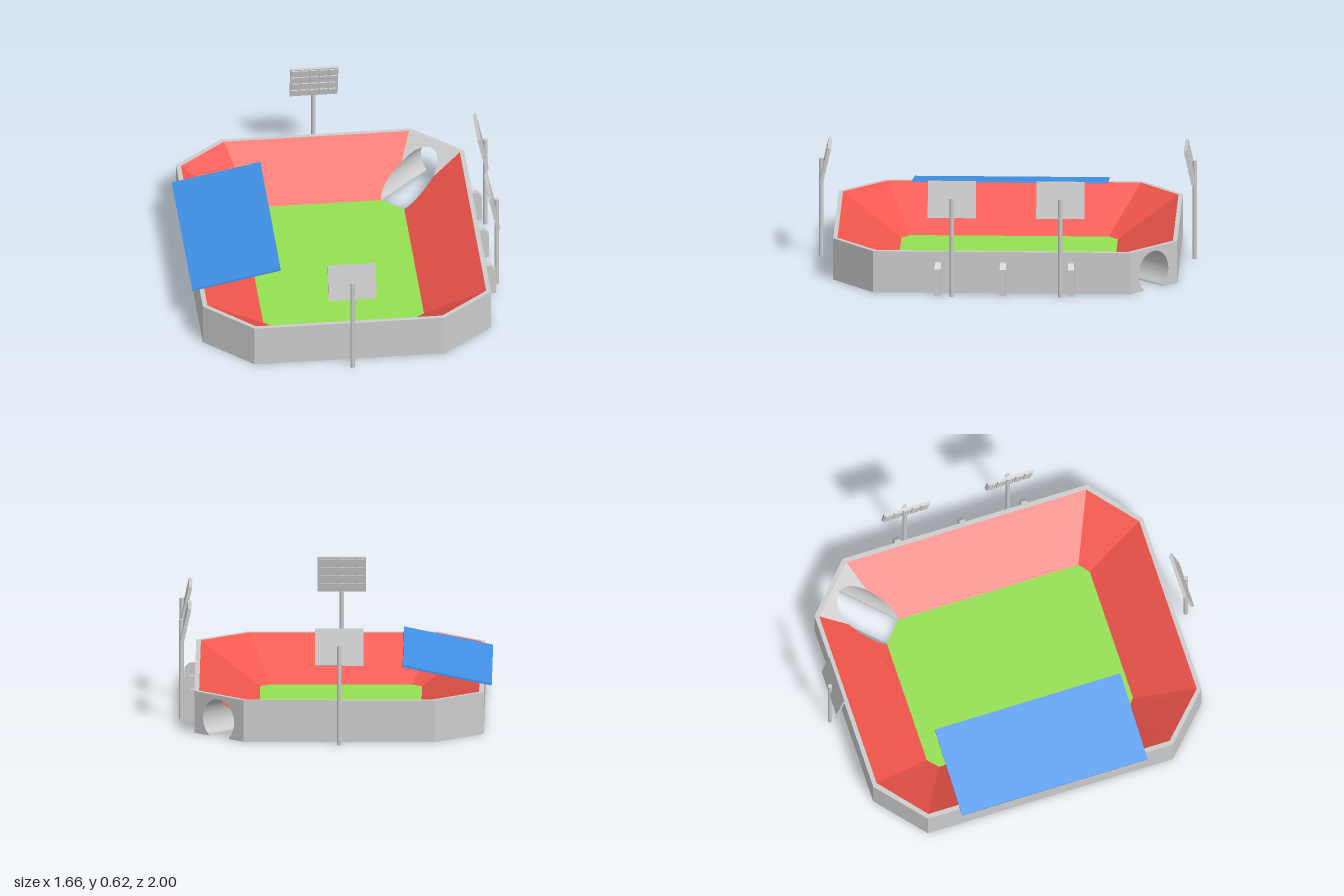
import * as THREE from 'three';
import { mergeGeometries } from 'three/addons/utils/BufferGeometryUtils.js';

const V = (x, y, z) => new THREE.Vector3(x, y, z);
const mat = (color) => new THREE.MeshStandardMaterial({ color });
const H = 0.225, FIELD_Y = 0.008;

// Octagon outlines [x, z], starting at the back-left corner and going round
// via the left, front and right sides (index 0-1 is the tunnel corner).
const OUTER = [[0.48, -0.91], [0.74, -0.67], [0.74, 0.69], [0.47, 0.91],
  [-0.54, 0.91], [-0.79, 0.67], [-0.79, -0.69], [-0.53, -0.91]];
const RIM = [[0.47, -0.887], [0.715, -0.657], [0.715, 0.675], [0.46, 0.887],
  [-0.53, 0.887], [-0.765, 0.66], [-0.765, -0.68], [-0.515, -0.887]];
const PITCH = [[0.347, -0.57], [0.4, -0.52], [0.4, 0.53], [0.345, 0.575],
  [-0.4, 0.575], [-0.455, 0.53], [-0.455, -0.52], [-0.4, -0.57]];
const at = (ring, i, y) => V(ring[i % 8][0], y, ring[i % 8][1]);

// Flat polygon in space, its front turned towards dir
function poly(points, dir) {
  const n = V(0, 0, 0);
  points.forEach((p, i) => n.add(V(0, 0, 0).crossVectors(p, points[(i + 1) % points.length])));
  const a = [Math.abs(n.x), Math.abs(n.y), Math.abs(n.z)];
  const drop = a.indexOf(Math.max(...a));
  const flat = points.map((p) => {
    const c = p.toArray();
    c.splice(drop, 1);
    return new THREE.Vector2(c[0], c[1]);
  });
  const out = [];
  for (const [i, j, k] of THREE.ShapeUtils.triangulateShape(flat, [])) {
    const t = new THREE.Triangle(points[i], points[j], points[k]);
    const flip = t.getNormal(V(0, 0, 0)).dot(dir) < 0;
    for (const m of flip ? [i, k, j] : [i, j, k]) out.push(points[m]);
  }
  const g = new THREE.BufferGeometry().setFromPoints(out);
  g.computeVertexNormals();
  return g;
}

// Tunnel: a cylinder running diagonally through the back-left corner
const R = 0.112, CY = 0.092, W0 = -0.125, S = Math.SQRT1_2;
const AXIS = V(S, 0, -S);
const END = Math.acos((FIELD_Y - CY) / R);
const plane = (a, b, c) => new THREE.Plane().setFromCoplanarPoints(a, b, c);
const slopes = [7, 0, 1].map((i) => plane(at(PITCH, i, FIELD_Y), at(PITCH, i + 1, FIELD_Y), at(RIM, i, H)));
const cornerWall = plane(at(OUTER, 0, 0), at(OUTER, 1, 0), at(OUTER, 0, H));

// Where the tunnel line at angle t meets one of the planes first
function hit(t, planes) {
  const w = W0 + R * Math.sin(t);
  const start = V(w * S, CY + R * Math.cos(t), w * S).addScaledVector(AXIS, -5);
  const ray = new THREE.Ray(start, AXIS);
  const d = planes.map((p) => ray.distanceToPlane(p) ?? Infinity);
  const dist = Math.min(...d);
  return { point: ray.at(dist, V(0, 0, 0)), face: d.indexOf(dist) };
}
// Angle at which the tunnel edge crosses from a side stand to the corner
function seam(side) {
  let a = side * END, b = 0;
  for (let i = 0; i < 40; i++) {
    const m = (a + b) / 2;
    if (hit(m, slopes).face === 1) b = m; else a = m;
  }
  return b;
}
const sweep = (a, b, n) => Array.from({ length: n + 1 }, (_, i) => a + ((b - a) * i) / n);

function floodlight(x, z, turn) {
  const g = new THREE.Group();
  g.name = 'floodlight';
  const grey = mat(0xcccccc);
  const pole = new THREE.Mesh(new THREE.CylinderGeometry(0.012, 0.012, 0.535, 12), grey);
  pole.name = 'pole';
  pole.position.y = 0.2675;
  // Panel leaning inwards, with a grid of lamps on its inner face (-z)
  const panel = new THREE.Group();
  panel.name = 'lampPanel';
  const board = new THREE.Mesh(new THREE.BoxGeometry(0.255, 0.197, 0.013), grey);
  board.name = 'board';
  const lamps = [];
  for (let i = 0; i < 5; i++) for (let j = 0; j < 4; j++) {
    lamps.push(new THREE.BoxGeometry(0.042, 0.04, 0.008)
      .translate((i - 2) * 0.05, (j - 1.5) * 0.048, -0.009));
  }
  const lampMesh = new THREE.Mesh(mergeGeometries(lamps), grey);
  lampMesh.name = 'lamps';
  panel.add(board, lampMesh);
  panel.position.set(0, 0.523, -0.022);
  panel.rotation.x = -0.22;
  g.add(pole, panel);
  g.position.set(x, 0, z);
  g.rotation.y = turn;
  return g;
}

export function createModel() {
  const model = new THREE.Group();
  model.name = 'stadium';
  const add = (name, geo, color) => {
    const m = new THREE.Mesh(geo, mat(color));
    m.name = name;
    model.add(m);
    return m;
  };

  // Tunnel edge curves
  const t1 = seam(-1), t2 = seam(1);
  const inner = (a, b, n) => sweep(a, b, n).map((t) => hit(t, slopes).point);
  const north = inner(-END, t1, 16), corner = inner(t1, t2, 24), east = inner(t2, END, 16);
  const drop = (p) => V(p.x, 0, p.z);
  const close = (c) => [drop(c[0]), ...c, drop(c[c.length - 1])];
  const inEdge = close([...north, ...corner.slice(1), ...east.slice(1)]);
  const outEdge = close([...sweep(-END, t1, 16), ...sweep(t1, t2, 24).slice(1), ...sweep(t2, END, 16).slice(1)]
    .map((t) => hit(t, [cornerWall]).point));
  const last = inEdge.length - 1;
  const first = north[0], final = east[east.length - 1];

  // Outer walls, rim and underside
  const shell = [], red = [], grey = [];
  for (let i = 0; i < 8; i++) {
    const a = at(OUTER, i, 0), b = at(OUTER, i + 1, 0), a2 = at(OUTER, i, H), b2 = at(OUTER, i + 1, H);
    const out = V(b.z - a.z, 0, a.x - b.x);
    if (out.dot(a) < 0) out.negate();
    shell.push(poly(i === 0 ? [a, a2, b2, b, ...outEdge.slice().reverse()] : [a, a2, b2, b], out));
    shell.push(poly([a2, b2, at(RIM, i + 1, H), at(RIM, i, H)], V(0, 1, 0)));

    // Sloping stands; the three round the tunnel follow its edge
    const r = at(RIM, i, H), r2 = at(RIM, i + 1, H);
    const p = at(PITCH, i, FIELD_Y), p2 = at(PITCH, i + 1, FIELD_Y);
    const up = out.clone().normalize().negate().add(V(0, 1, 0));
    if (i === 7) red.push(poly([r, r2, ...north.slice().reverse(), p], up));
    else if (i === 0) grey.push(poly([r, r2, ...corner.slice().reverse()], up));
    else if (i === 1) red.push(poly([r, r2, p2, ...east.slice().reverse()], up));
    else red.push(poly([r, r2, p2, p], up));
  }
  const base = OUTER.slice(1).map((_, i) => at(OUTER, i + 1, 0));
  shell.push(poly([at(OUTER, 0, 0), outEdge[0], inEdge[0], inEdge[last], outEdge[last], ...base], V(0, -1, 0)));
  shell.push(poly([inEdge[0], first, final, inEdge[last]], AXIS));
  add('outerWall', mergeGeometries(shell), 0xcccccc);
  add('stands', mergeGeometries(red), 0xf4564c);
  add('tunnelCorner', mergeGeometries(grey), 0xcccccc);

  // Pitch, cut off at the tunnel mouth
  const pitch = [first, final];
  for (let i = 2; i < 8; i++) pitch.push(at(PITCH, i, FIELD_Y));
  add('pitch', poly(pitch, V(0, 1, 0)), 0x94e052);

  // Tunnel lining between its two edge curves
  const lining = new THREE.BufferGeometry().setFromPoints([...inEdge, ...outEdge]);
  const index = [];
  for (let i = 0; i < last; i++) {
    const o = i + last + 1;
    index.push(i, i + 1, o, i + 1, o + 1, o);
  }
  lining.setIndex(index);
  lining.computeVertexNormals();
  add('tunnel', lining, 0xcccccc).material.side = THREE.DoubleSide;

  // Tilted canopy over the right-hand stand
  const roof = add('canopy', new THREE.BoxGeometry(0.48, 0.011, 1.03), 0x4192e8);
  roof.position.set(-0.595, 0.279, 0.002);
  roof.rotation.z = 0.205;

  // Buttresses on the left wall
  const profile = new THREE.Shape([[0.73, 0], [0.8, 0], [0.8, 0.143], [0.772, 0.172], [0.73, 0.172]]
    .map(([x, y]) => new THREE.Vector2(x, y)));
  for (const z of [0.347, 0.003, -0.358]) {
    const g = new THREE.ExtrudeGeometry(profile, { depth: 0.032, bevelEnabled: false });
    add('buttress', g.translate(0, 0, z - 0.016), 0xcccccc);
  }

  // Floodlights: front, back and two on the left
  model.add(floodlight(-0.028, 0.988, 0), floodlight(-0.028, -0.988, Math.PI),
    floodlight(0.813, 0.272, Math.PI / 2), floodlight(0.813, -0.302, Math.PI / 2));
  return model;
}
